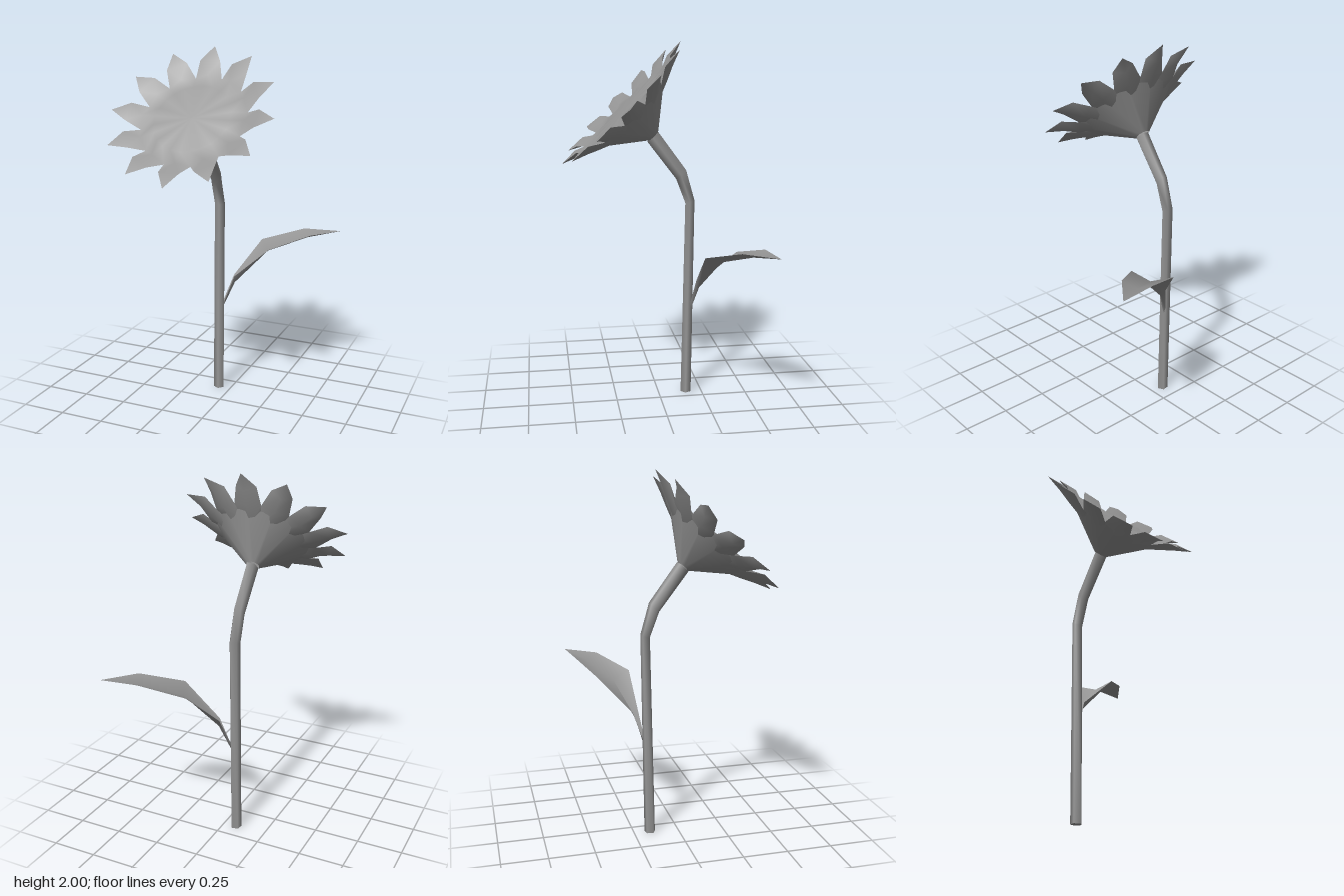
import * as THREE from 'three';

const V = (x, y, z) => new THREE.Vector3(x, y, z);

// Point on the flower head: radius, angle in degrees, height along the head's axis
function polar(r, degrees, y) {
  const a = THREE.MathUtils.degToRad(degrees);
  return V(r * Math.sin(a), y, r * Math.cos(a));
}

function makeGeometry(points, index) {
  const g = new THREE.BufferGeometry().setFromPoints(points);
  g.setIndex(index);
  g.computeVertexNormals();
  return g;
}

function makeMesh(name, geometry) {
  const material = new THREE.MeshStandardMaterial({ color: 0x959595, side: THREE.DoubleSide });
  const m = new THREE.Mesh(geometry, material);
  m.name = name;
  return m;
}

const STEM_SIDES = 5;
const STEM_START = Math.PI * 1.25;

// Bent stem: rings [x, y, z, tilt about x, radius in x, radius in z] joined by quads
function stemGeometry() {
  const rings = [
    [-0.074, 0, -0.16, 0, 0.031, 0.031],
    [-0.074, 1.13, -0.177, 0.3, 0.031, 0.028],
    [-0.074, 1.285, -0.127, 0.75, 0.031, 0.039],
    [-0.076, 1.495, 0.03, 0.72, 0.034, 0.042],
  ];
  const points = [], index = [];
  rings.forEach(([x, y, z, tilt, rx, rz], k) => {
    for (let i = 0; i < STEM_SIDES; i++) {
      const a = STEM_START + (i / STEM_SIDES) * Math.PI * 2;
      points.push(V(rx * Math.cos(a), 0, rz * Math.sin(a)).applyAxisAngle(V(1, 0, 0), tilt).add(V(x, y, z)));
      if (k === 0) continue;
      const j = (i + 1) % STEM_SIDES, lo = (k - 1) * STEM_SIDES, hi = k * STEM_SIDES;
      index.push(lo + i, hi + i, hi + j, lo + i, hi + j, lo + j);
    }
  });
  return makeGeometry(points, index);
}

// Front of the head: seed disc running smoothly into twelve petals
function faceGeometry() {
  const points = [V(0, -0.034, 0)], index = [];
  const at = (i, k) => 1 + ((i + 12) % 12) * 7 + k;
  for (let i = 0; i < 12; i++) {
    const d = i * 30;
    points.push(
      polar(0.21, d, -0.034), polar(0.21, d + 15, -0.036), // disc
      polar(0.285, d, -0.028), polar(0.29, d + 15, -0.06), // petal root, valley
      polar(0.365, d - 9, -0.006), polar(0.365, d + 9, -0.006), // shoulders
      polar(0.457, d, 0), // tip
    );
    const disc = at(i, 0), discEdge = at(i, 1), root = at(i, 2), valley = at(i, 3);
    const left = at(i, 4), right = at(i, 5), tip = at(i, 6);
    const lastEdge = at(i - 1, 1), lastValley = at(i - 1, 3);
    index.push(
      0, lastEdge, disc, 0, disc, discEdge,
      lastEdge, lastValley, root, lastEdge, root, disc,
      disc, root, valley, disc, valley, discEdge,
      lastValley, left, root, root, left, right, root, right, valley,
      left, tip, right,
    );
  }
  return makeGeometry(points, index);
}

// Back of one petal: a straight keel from the calyx to the tip
function petalBackGeometry() {
  const points = [
    polar(0.18, -15, -0.09), polar(0.18, 0, -0.122), polar(0.18, 15, -0.09),
    polar(0.29, -15, -0.06), polar(0.29, 0, -0.074), polar(0.29, 15, -0.06),
    polar(0.365, -9, -0.006), polar(0.365, 0, -0.038), polar(0.365, 9, -0.006),
    polar(0.457, 0, 0),
  ];
  const index = [6, 7, 9, 7, 8, 9];
  for (const a of [0, 1, 3, 4]) index.push(a, a + 4, a + 3, a, a + 1, a + 4);
  return makeGeometry(points, index);
}

// Leaf: [left edge, midrib, right edge] cross-sections, closed by the tip
function leafGeometry() {
  const points = [
    V(-0.06, 0.54, -0.19), V(-0.055, 0.51, -0.185), V(-0.045, 0.55, -0.18),
    V(-0.012, 0.69, -0.238), V(0.0, 0.65, -0.22), V(0.003, 0.69, -0.203),
    V(0.096, 0.873, -0.41), V(0.165, 0.835, -0.31), V(0.209, 0.873, -0.21),
    V(0.328, 0.94, -0.504), V(0.37, 0.91, -0.43), V(0.406, 0.94, -0.362),
    V(0.54, 0.94, -0.53),
  ];
  const index = [9, 10, 12, 10, 11, 12];
  for (const a of [0, 1, 3, 4, 6, 7]) index.push(a, a + 1, a + 4, a, a + 4, a + 3);
  return makeGeometry(points, index);
}

export function createModel() {
  const model = new THREE.Group();
  model.name = 'flower';
  model.add(makeMesh('stem', stemGeometry()), makeMesh('leaf', leafGeometry()));

  const base = makeMesh('stemBase', new THREE.CircleGeometry(0.031, STEM_SIDES, STEM_START));
  base.rotation.x = Math.PI / 2;
  base.position.set(-0.074, 0, -0.16);
  model.add(base);

  // Flower head, tilted forward; its own y axis points out of the face
  const head = new THREE.Group();
  head.name = 'flowerHead';
  head.position.set(-0.08, 1.677, 0.203);
  head.rotation.x = Math.PI / 4;
  model.add(head);
  head.add(makeMesh('flowerFace', faceGeometry()));

  const petalBack = petalBackGeometry();
  for (let i = 0; i < 12; i++) {
    const petal = makeMesh('petalBack', petalBack);
    petal.rotation.y = (i * Math.PI) / 6;
    head.add(petal);
  }

  // Cup behind the petals, tapering into the stem
  const cup = [new THREE.Vector2(0.038, -0.25), new THREE.Vector2(0.262, -0.072)];
  head.add(makeMesh('calyx', new THREE.LatheGeometry(cup, 12)));

  return model;
}
